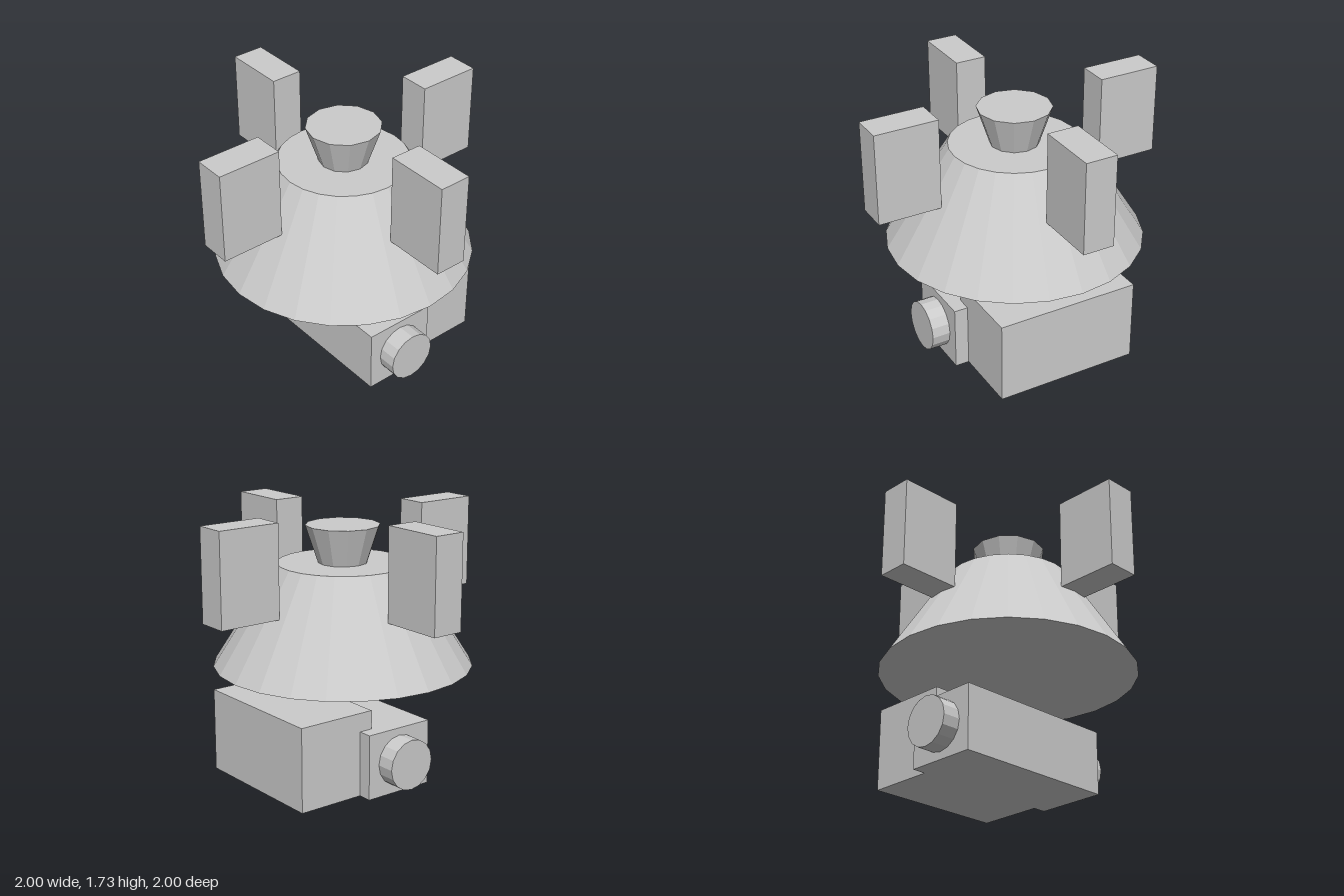
import * as THREE from 'three';

const material = new THREE.MeshStandardMaterial({ color: 0xcccccc, flatShading: true });

export function createModel() {
  const model = new THREE.Group();

  const add = (name, geometry, x, y, z) => {
    const mesh = new THREE.Mesh(geometry, material);
    mesh.name = name;
    mesh.position.set(x, y, z);
    model.add(mesh);
    return mesh;
  };

  // Base: wide front block and taller rear block
  add('frontBlock', new THREE.BoxGeometry(1.15, 0.428, 0.485), 0, 0.214, 0);
  add('rearBlock', new THREE.BoxGeometry(0.966, 0.55, 0.545), 0, 0.275, -0.422);

  // Round hubs on both ends of the front block
  for (const side of [-1, 1]) {
    const hub = add(side > 0 ? 'leftHub' : 'rightHub',
      new THREE.CylinderGeometry(0.165, 0.165, 0.14, 16), side * 0.627, 0.215, 0);
    hub.rotation.z = Math.PI / 2;
  }

  // Floating conical body with a flared cap
  add('coneBody', new THREE.CylinderGeometry(0.425, 0.845, 0.665, 24), 0, 1.0625, 0);
  add('flaredCap', new THREE.CylinderGeometry(0.242, 0.16, 0.245, 12), 0, 1.5175, 0);

  // Four upright fins around the cone
  ['leftFin', 'frontFin', 'rightFin', 'backFin'].forEach((name, i) => {
    const angle = i * Math.PI / 2;
    const fin = add(name, new THREE.BoxGeometry(0.424, 0.605, 0.21),
      Math.cos(angle) * 0.788, 1.4275, Math.sin(angle) * 0.788);
    fin.rotation.y = -angle;
  });

  return model;
}
